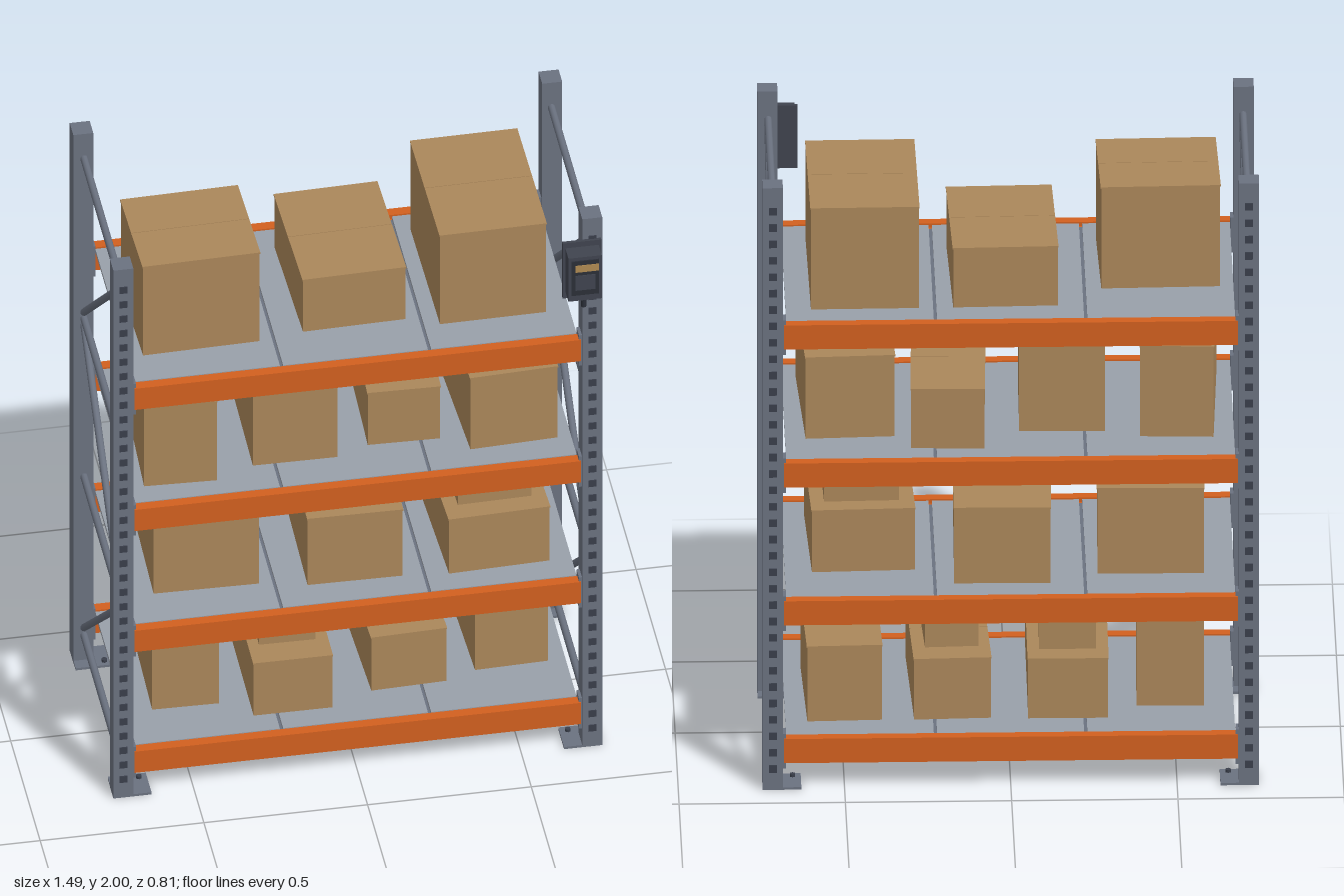
import * as THREE from 'three';

const mat = (name, color) => {
  const m = new THREE.MeshStandardMaterial({ color });
  m.name = name;
  return m;
};

export function createModel() {
  const steel = mat('grey steel', 0x6b7280);
  const slotDark = mat('slot dark', 0x3a3f4b);
  const orange = mat('beam orange', 0xd2601f);
  const deckGrey = mat('deck grey', 0x99a0aa);
  const card = mat('cardboard', 0xab875a);
  const device = mat('device slate', 0x40444f);
  const panel = mat('device panel', 0x2b2f38);
  const amber = mat('label amber', 0xb08a52);

  const root = new THREE.Group();
  root.name = 'palletRack';
  const group = (name, parent = root) => {
    const g = new THREE.Group();
    g.name = name;
    parent.add(g);
    return g;
  };
  // box given by its lower and upper bounds
  const block = (parent, name, m, x0, x1, y0, y1, z0, z1) => {
    const mesh = new THREE.Mesh(new THREE.BoxGeometry(x1 - x0, y1 - y0, z1 - z0), m);
    mesh.position.set((x0 + x1) / 2, (y0 + y1) / 2, (z0 + z1) / 2);
    mesh.name = name;
    parent.add(mesh);
    return mesh;
  };
  // round bar between two points
  const bar = (parent, name, a, b, r) => {
    const dir = b.clone().sub(a);
    const mesh = new THREE.Mesh(new THREE.CylinderGeometry(r, r, dir.length(), 10), steel);
    mesh.position.copy(a).add(b).multiplyScalar(0.5);
    mesh.quaternion.setFromUnitVectors(new THREE.Vector3(0, 1, 0), dir.normalize());
    mesh.name = name;
    parent.add(mesh);
  };

  const px = 0.716, half = 0.0305, zFront = 0.304, zBack = -0.376;

  // end frames: slotted posts, foot plates and bracing
  for (const s of [-1, 1]) {
    const frame = group(s > 0 ? 'leftFrame' : 'rightFrame');
    for (const z of [zFront, zBack]) {
      const out = Math.sign(z);
      block(frame, 'post', steel, s * px - half, s * px + half, 0, 2, z - half, z + half);
      const foot = [s * 0.63, s * 0.746].sort((a, b) => a - b);
      const footZ = [z + out * half, z - out * 0.068].sort((a, b) => a - b);
      block(frame, 'footPlate', steel, ...foot, 0, 0.008, ...footZ);
      const bolt = new THREE.Mesh(new THREE.CylinderGeometry(0.009, 0.009, 0.01, 6), slotDark);
      bolt.position.set(s * 0.655, 0.012, z - out * 0.048);
      bolt.name = 'anchorBolt';
      frame.add(bolt);
      for (let i = 0; i < 35; i++) {
        const y = 0.07 + i * 0.0545;
        const f = z + out * half;
        block(frame, 'slot', slotDark, s * px - 0.012, s * px + 0.012, y - 0.012, y + 0.012, f - 0.003, f + 0.003);
      }
    }
    const p = (y, z) => new THREE.Vector3(s * 0.714, y, z);
    for (const y of [0.102, 0.703, 1.302, 1.908]) {
      bar(frame, 'horizontalBrace', p(y, zBack + half), p(y, zFront - half), 0.0115);
    }
    for (const [yf, yb] of [[1.885, 1.325], [0.73, 1.28], [0.675, 0.13]]) {
      bar(frame, 'diagonalBrace', p(yf, zFront - half), p(yb, zBack + half), 0.0115);
    }
  }

  // shelves: two stepped beams, three deck panels, two cross bars
  const tops = [0.168, 0.626, 1.084, 1.543];
  for (const top of tops) {
    const shelf = group('shelf');
    for (const s of [-1, 1]) {
      const outer = s > 0 ? 0.334 : -0.406;
      const span = (a, b) => [outer - s * a, outer - s * b].sort((u, v) => u - v);
      block(shelf, 'beam', orange, -0.682, 0.682, top - 0.08, top, ...span(0, 0.032));
      block(shelf, 'beamStep', orange, -0.682, 0.682, top - 0.08, top - 0.014, ...span(0.032, 0.04));
      for (const e of [-1, 1]) {
        const xs = [e * 0.676, e * 0.689].sort((a, b) => a - b);
        block(shelf, 'beamConnector', steel, ...xs, top - 0.1, top + 0.015, ...span(0.004, 0.045));
      }
    }
    for (const [a, b] of [[-0.675, -0.231], [-0.221, 0.221], [0.231, 0.675]]) {
      block(shelf, 'deckPanel', deckGrey, a, b, top - 0.014, top - 0.002, -0.37, 0.296);
    }
    for (const x of [-0.226, 0.226]) {
      block(shelf, 'crossBar', steel, x - 0.012, x + 0.012, top - 0.036, top - 0.014, -0.367, 0.295);
    }
  }

  // cartons: [x0, x1, z0, z1, base, top, turn], outer bounds after turning
  const cartons = [
    [-0.595, -0.380, -0.20, 0.145, 0.168, 0.49, -0.022],
    [-0.300, -0.053, -0.28, 0.225, 0.168, 0.367, -0.006],
    [0.055, 0.305, -0.28, 0.165, 0.168, 0.37, 0.035],
    [0.383, 0.623, -0.285, 0.12, 0.168, 0.418, 0.03],
    [-0.268, -0.087, -0.215, 0.14, 0.367, 0.514, -0.015],
    [0.090, 0.268, -0.20, 0.09, 0.37, 0.514, 0.045],
    [-0.595, -0.262, -0.24, 0.172, 0.626, 0.91, -0.022],
    [-0.132, 0.170, -0.298, 0.21, 0.626, 0.878, -0.017],
    [0.282, 0.610, -0.205, 0.225, 0.626, 0.832, 0.035],
    [0.328, 0.565, -0.145, 0.16, 0.832, 0.973, 0.025],
    [-0.635, -0.390, -0.25, 0.235, 1.084, 1.385, -0.042],
    [-0.295, -0.028, -0.20, 0.186, 1.084, 1.402, -0.012],
    [0.063, 0.300, -0.315, 0.15, 1.084, 1.282, -0.028],
    [0.343, 0.635, -0.235, 0.22, 1.084, 1.355, 0.045],
    [-0.637, -0.268, -0.17, 0.178, 1.543, 1.88, 0.022],
    [-0.146, 0.183, -0.293, 0.148, 1.543, 1.741, 0.024],
    [0.272, 0.605, -0.297, 0.184, 1.543, 1.88, 0.009],
  ];
  for (const [x0, x1, z0, z1, base, top, turn] of cartons) {
    const c = Math.cos(turn), k = Math.abs(Math.sin(turn)), W = x1 - x0, D = z1 - z0;
    const det = c * c - k * k;
    const w = (W * c - D * k) / det / 2, d = (D * c - W * k) / det / 2, h = top - base;
    const g = group('carton');
    g.position.set((x0 + x1) / 2, base, (z0 + z1) / 2);
    g.rotation.y = turn;
    block(g, 'cartonBody', card, -w + 0.002, w - 0.002, 0, h - 0.005, -d + 0.002, d - 0.002);
    block(g, 'topFlap', card, -w, w, h - 0.005, h, -d, -0.001);
    block(g, 'topFlap', card, -w, w, h - 0.005, h, 0.001, d);
  }

  // wall terminal on the front left post
  const t = group('terminal');
  block(t, 'mountPlate', device, 0.624, 0.742, 1.716, 1.924, 0.335, 0.345);
  block(t, 'terminalBody', device, 0.632, 0.734, 1.742, 1.905, 0.345, 0.397);
  block(t, 'terminalFace', panel, 0.641, 0.725, 1.765, 1.893, 0.394, 0.401);
  block(t, 'terminalScreen', amber, 0.653, 0.724, 1.853, 1.878, 0.398, 0.403);
  block(t, 'keypad', device, 0.653, 0.714, 1.785, 1.84, 0.398, 0.403);
  const stem = new THREE.Mesh(new THREE.CylinderGeometry(0.008, 0.008, 0.042, 10), panel);
  stem.position.set(0.683, 1.722, 0.372);
  stem.name = 'cableGland';
  t.add(stem);

  return root;
}
